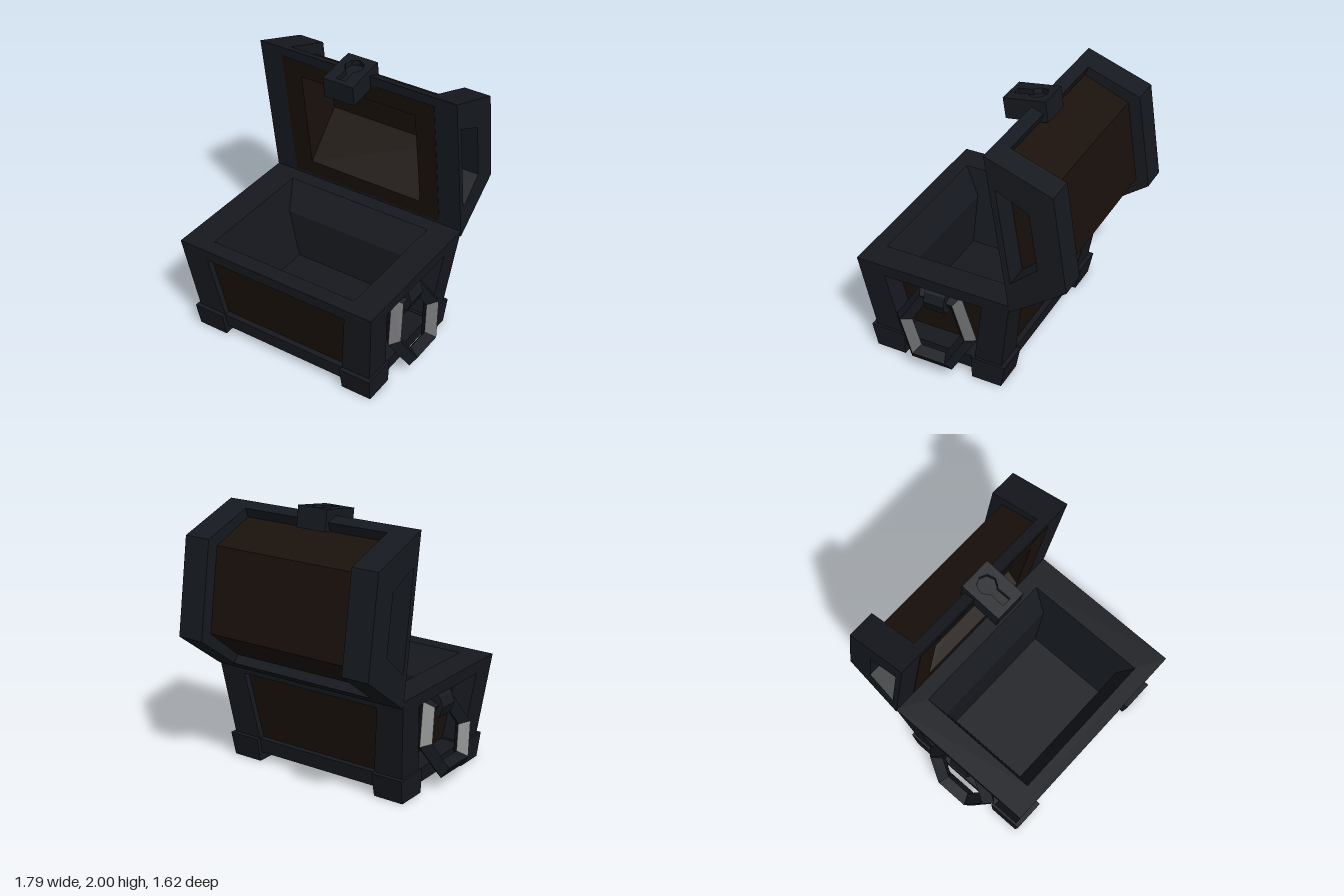
import * as THREE from 'three';

const iron = new THREE.MeshStandardMaterial({ color: 0x16191f, flatShading: true });
const wood = new THREE.MeshStandardMaterial({ color: 0x1a110c, flatShading: true });

function addMesh(parent, name, geometry, material) {
  const mesh = new THREE.Mesh(geometry, material);
  mesh.name = name;
  parent.add(mesh);
  return mesh;
}

// Joins successive four-cornered rings; a single ring becomes a flat panel.
function loft(rings, cap = false) {
  const pos = [];
  const tri = (...pts) => pts.forEach(p => pos.push(...p));
  for (let r = 0; r + 1 < rings.length; r++) {
    const a = rings[r], b = rings[r + 1];
    for (let i = 0; i < 4; i++) {
      const j = (i + 1) % 4;
      tri(a[i], a[j], b[j]);
      tri(a[i], b[j], b[i]);
    }
  }
  if (cap) {
    const q = rings[rings.length - 1];
    tri(q[0], q[1], q[2]);
    tri(q[0], q[2], q[3]);
  }
  const g = new THREE.BufferGeometry();
  g.setAttribute('position', new THREE.Float32BufferAttribute(pos, 3));
  g.computeVertexNormals();
  return g;
}

const upRing = (x, z, y) => [[-x, y, z], [x, y, z], [x, y, -z], [-x, y, -z]];
const downRing = (x, z, y) => [[-x, y, -z], [x, y, -z], [x, y, z], [-x, y, z]];

function shapeOf(points, hole) {
  const s = new THREE.Shape(points.map(p => new THREE.Vector2(...p)));
  if (hole) s.holes.push(new THREE.Path(hole.map(p => new THREE.Vector2(...p))));
  return s;
}

function slab(points, z0, z1, hole) {
  const g = new THREE.ExtrudeGeometry(shapeOf(points, hole), { depth: z1 - z0, bevelEnabled: false });
  return g.translate(0, 0, z0);
}

// Tapered box with a framed, recessed panel on every side and underneath
function buildBase() {
  const base = new THREE.Group();
  base.name = 'base';
  base.position.z = 0.21;
  const top = 0.797, bottom = 0.065;
  const halfX = y => 0.8 - 0.1 * (top - y);
  const halfZ = y => 0.6 - 0.15 * (top - y);

  for (let i = 0; i < 4; i++) {
    const end = i % 2 === 1;
    const width = end ? halfZ : halfX, dist = end ? halfX : halfZ;
    const [low, high, depth] = end ? [0.295, 0.385, 0.165] : [0.51, 0.578, 0.045];
    const outer = [[-width(bottom), bottom, dist(bottom)], [width(bottom), bottom, dist(bottom)],
      [width(top), top, dist(top)], [-width(top), top, dist(top)]];
    const panel = d => [[-low, 0.18, dist(0.18) - d], [low, 0.18, dist(0.18) - d],
      [high, 0.703, dist(0.703) - d], [-high, 0.703, dist(0.703) - d]];
    const side = new THREE.Group();
    side.name = end ? 'baseEnd' : i ? 'baseBack' : 'baseFront';
    side.rotation.y = i * Math.PI / 2;
    base.add(side);
    addMesh(side, 'sideFrame', loft([outer, panel(0), panel(depth)]), iron);
    addMesh(side, 'sidePanel', loft([panel(depth)], true), wood);
  }

  // Underside
  addMesh(base, 'bottomFrame', loft([downRing(halfX(bottom), halfZ(bottom), bottom),
    downRing(0.56, 0.33, bottom), downRing(0.545, 0.315, 0.11)]), iron);
  addMesh(base, 'bottomPanel', loft([downRing(0.545, 0.315, 0.11)], true), wood);

  // Rim and hollow interior
  addMesh(base, 'rimAndInterior', loft([upRing(0.8, 0.6, top), upRing(0.59, 0.48, top),
    upRing(0.54, 0.36, 0.58), upRing(0.455, 0.36, 0.2)], true), iron);

  // Corner feet, flaring outwards towards the top
  for (const sx of [-1, 1]) for (const sz of [-1, 1]) {
    const g = new THREE.BoxGeometry(1, 1, 1);
    const p = g.attributes.position;
    for (let i = 0; i < p.count; i++) {
      const up = p.getY(i) > 0;
      const x = p.getX(i) * sx > 0 ? (up ? 0.757 : 0.747) : 0.51;
      const z = p.getZ(i) * sz > 0 ? (up ? 0.543 : 0.507) : 0.275;
      p.setXYZ(i, sx * x, up ? 0.185 : 0, sz * z);
    }
    g.computeVertexNormals();
    addMesh(base, 'cornerFoot', g, iron);
  }

  // Hanging six-sided ring handles, held by a bracket in the end recess
  const bracket = [[-0.19, 0.14], [0, 0.14], [0.032, 0.22], [0.005, 0.29], [-0.02, 0.32], [-0.19, 0.32]];
  for (const s of [-1, 1]) {
    const handle = new THREE.Group();
    handle.name = s > 0 ? 'leftHandle' : 'rightHandle';
    handle.rotation.y = s * Math.PI / 2;
    handle.position.set(s * 0.768, 0.37, -0.007);
    base.add(handle);
    const ring = addMesh(handle, 'handleRing', new THREE.TorusGeometry(0.26, 0.065, 4, 6), iron);
    ring.rotation.x = -0.29;
    addMesh(handle, 'handleBracket', slab(bracket, -0.08, 0.08), iron).rotation.y = -Math.PI / 2;
  }
  return base;
}

// Open lid, drawn in profile: x runs from hinge to front edge, y is the lid's height
function buildLid() {
  const lid = new THREE.Group();
  lid.name = 'lid';
  lid.position.set(0, 0.747, -0.392);
  const along = new THREE.Vector3(0, 1.18, 0.18).normalize();
  const across = new THREE.Vector3(-1, 0, 0);
  const height = new THREE.Vector3().crossVectors(across, along);
  lid.quaternion.setFromRotationMatrix(new THREE.Matrix4().makeBasis(along, height, across));

  const L = 1.207;
  const outer = [[0, 0], [L, 0], [L - 0.245, 0.457], [0.245, 0.457]];
  const endHole = [[0.243, 0.045], [L - 0.243, 0.045], [L - 0.388, 0.266], [0.388, 0.266]];
  const core = [[0.073, -0.003], [L - 0.075, -0.003], [L - 0.293, 0.365], [0.293, 0.365]];
  const shell = [[0.073, -0.003], [0.293, 0.365], [L - 0.293, 0.365], [L - 0.075, -0.003],
    [L - 0.21, -0.003], [L - 0.47, 0.345], [0.477, 0.345], [0.202, -0.003]];
  const rail = [[0, 0], [0.08, 0], [0.13, 0.04], [0.045, 0.084]];

  // Wooden vault with a hollow in the middle
  addMesh(lid, 'lidVault', slab(shell, -0.47, 0.47), wood);
  for (const s of [-1, 1]) {
    const span = (a, b) => s > 0 ? [a, b] : [-b, -a];
    addMesh(lid, 'lidVaultEnd', slab(core, ...span(0.47, 0.625)), wood);
    // Iron end frame, open to the end of the vault
    addMesh(lid, 'lidEndFrame', slab(outer, ...span(0.595, 0.802), endHole), iron);
  }
  // Rails along the hinge and the front edge
  addMesh(lid, 'hingeRail', slab(rail, -0.6, 0.6), iron);
  addMesh(lid, 'frontRail', slab(rail.map(([x, y]) => [L - x, y]).reverse(), -0.6, 0.6), iron);

  // Lock block with a sunken keyhole on its outer face
  const lock = new THREE.Group();
  lock.name = 'lock';
  lid.add(lock);
  const keyhole = [[-0.17, -0.035], [-0.17, 0.035], [-0.06, 0.03]];
  for (let i = 0; i < 7; i++) {
    const a = Math.PI * (0.8 - i * 1.6 / 6);
    keyhole.push([0.07 * Math.cos(a), 0.07 * Math.sin(a)]);
  }
  keyhole.push([-0.06, -0.03]);
  const face = [[-0.21, -0.121], [0.11, -0.121], [0.11, 0.121], [-0.21, 0.121]];
  const plate = slab(face, 0, 0.04, keyhole);
  // Turns the plate so that it faces along the lid's length
  plate.applyMatrix4(new THREE.Matrix4().makeBasis(
    new THREE.Vector3(0, 1, 0), new THREE.Vector3(0, 0, 1), new THREE.Vector3(1, 0, 0)));
  addMesh(lock, 'keyholePlate', plate, iron).position.x = 1.211;
  addMesh(lock, 'lockBody', new THREE.BoxGeometry(0.114, 0.32, 0.242), iron).position.set(1.154, -0.05, 0);
  return lid;
}

export function createModel() {
  const model = new THREE.Group();
  model.name = 'chest';
  model.add(buildBase(), buildLid());
  return model;
}
